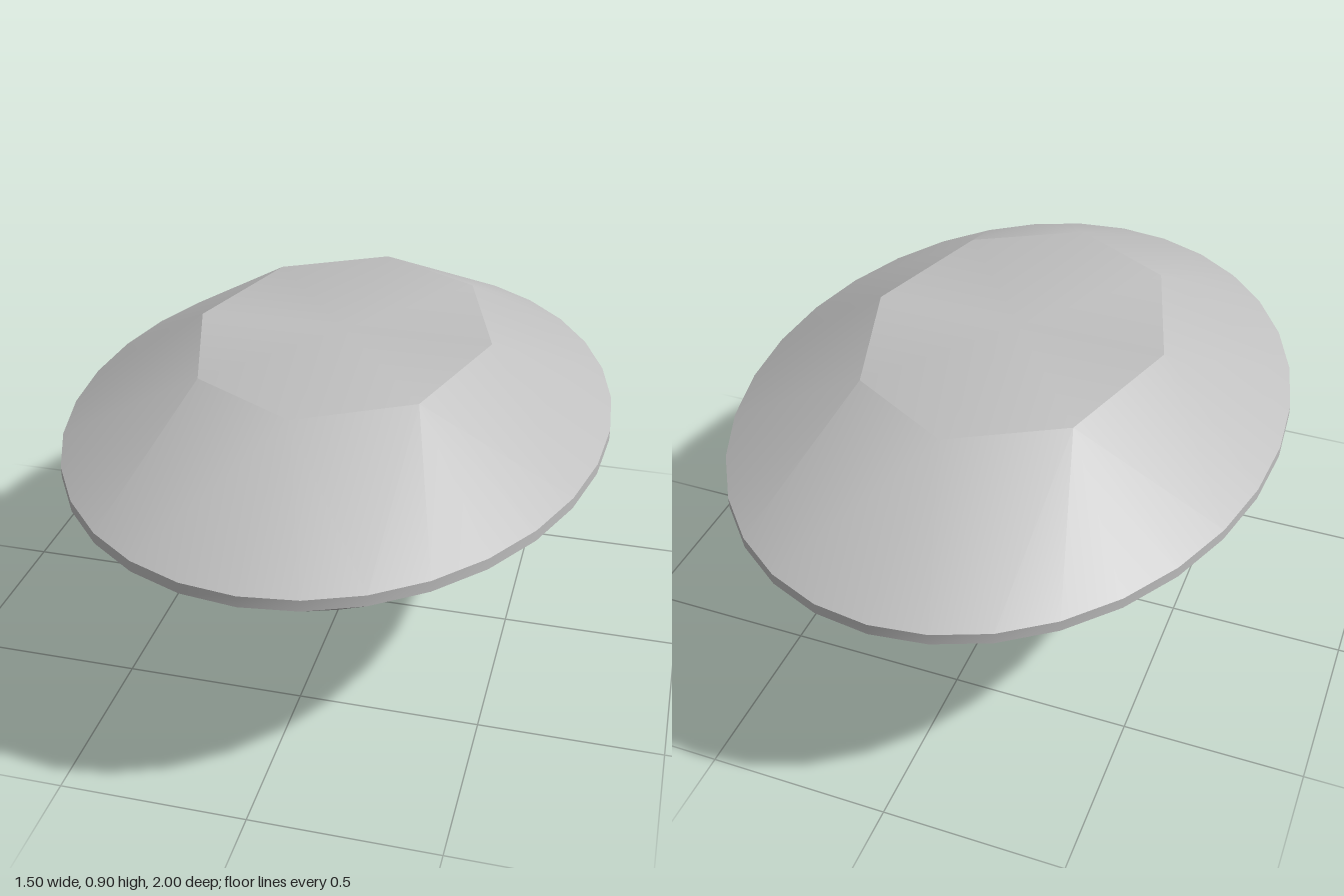
import * as THREE from 'three';
import { toCreasedNormals } from 'three/addons/utils/BufferGeometryUtils.js';

const SIDES = 32, CORNERS = 8;

// Ring of points on an ellipse, starting at the front and turning towards +x
function ring(count, rx, rz, y) {
  return Array.from({ length: count }, (_, i) => {
    const a = (i / count) * Math.PI * 2;
    return new THREE.Vector3(rx * Math.sin(a), y, rz * Math.cos(a));
  });
}

function facets(name, points, material) {
  const geometry = new THREE.BufferGeometry().setFromPoints(points);
  const mesh = new THREE.Mesh(toCreasedNormals(geometry, 0.5), material);
  mesh.name = name;
  return mesh;
}

export function createModel() {
  const gem = new THREE.Group();
  gem.name = 'ovalGem';
  const stone = new THREE.MeshStandardMaterial({ color: 0xbfbfbf });
  stone.name = 'grey stone';

  const table = ring(CORNERS, 0.413, 0.553, 0.9);
  const upper = ring(SIDES, 0.75, 1, 0.68);
  const lower = ring(SIDES, 0.75, 1, 0.65);
  const keelFront = new THREE.Vector3(0, 0, 0.077);
  const keelBack = new THREE.Vector3(0, 0, -0.077);
  const centre = new THREE.Vector3(0, 0.9, 0);
  const step = SIDES / CORNERS;

  const crown = [], girdle = [], pavilion = [];

  // Table and the crown facet below each of its edges
  for (let k = 0; k < CORNERS; k++) {
    const a = table[k], b = table[(k + 1) % CORNERS];
    crown.push(centre, a, b, upper[k * step + step / 2], b, a);
  }

  for (let i = 0; i < SIDES; i++) {
    const j = (i + 1) % SIDES;
    // Crown fans around the table corners
    crown.push(upper[i], upper[j], table[Math.round((i + 0.5) / step) % CORNERS]);
    // Thin upright girdle
    girdle.push(lower[i], lower[j], upper[j], lower[i], upper[j], upper[i]);
    // Pavilion fans down to the ends of the keel
    const front = i < SIDES / 4 || i >= SIDES * 0.75;
    pavilion.push(front ? keelFront : keelBack, lower[j], lower[i]);
  }

  // Side facets along the keel
  pavilion.push(keelFront, keelBack, lower[SIDES / 4]);
  pavilion.push(keelBack, keelFront, lower[SIDES * 0.75]);

  gem.add(
    facets('crown', crown, stone),
    facets('girdle', girdle, stone),
    facets('pavilion', pavilion, stone)
  );
  return gem;
}
